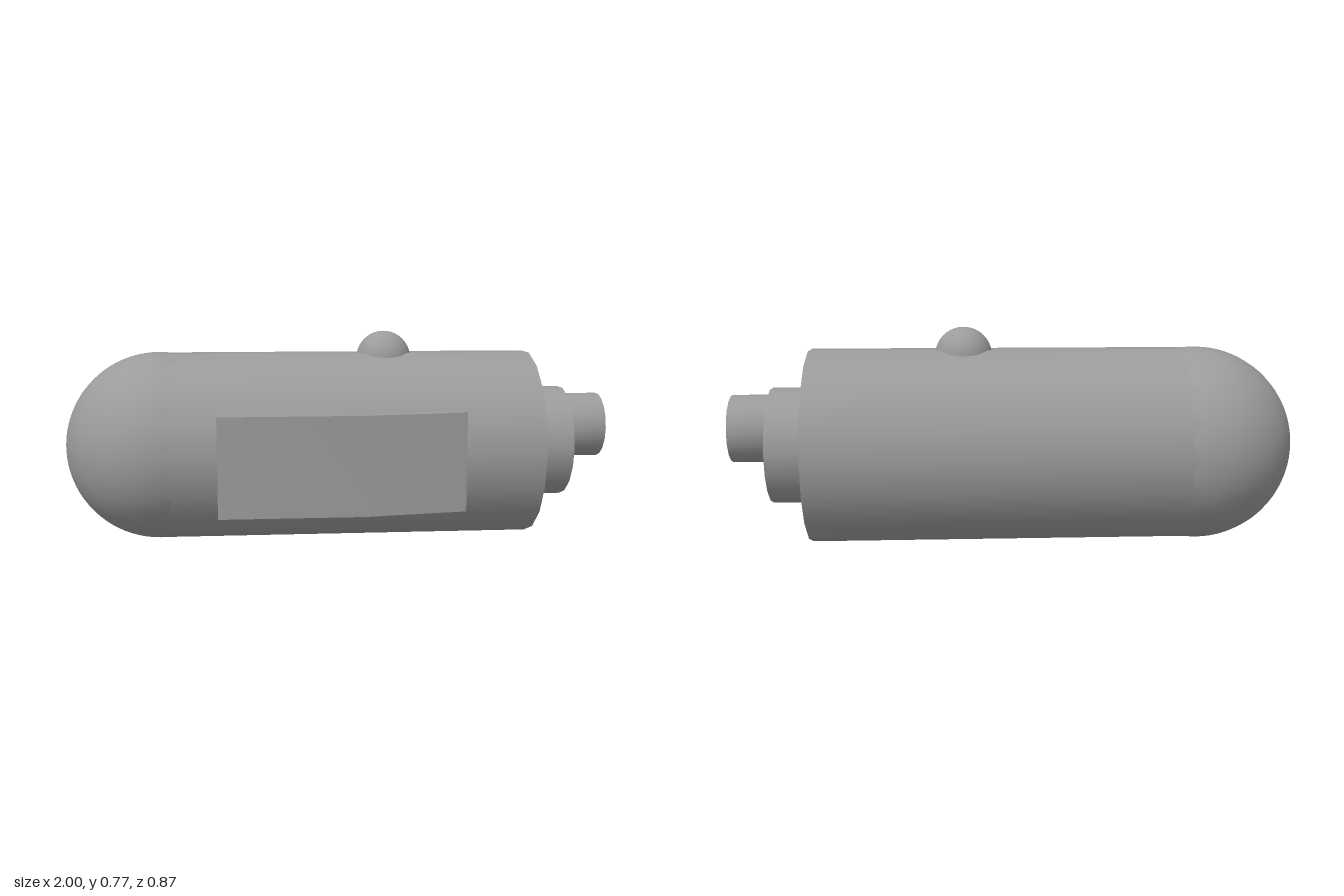
import * as THREE from 'three';
import { toCreasedNormals } from 'three/addons/utils/BufferGeometryUtils.js';

const SIDES = 18;
const AXIS_Y = 0.345, AXIS_Z = -0.089;

export function createModel() {
  const group = new THREE.Group();
  const material = new THREE.MeshStandardMaterial({ color: 0x9b9b9b });

  function add(name, geometry, x, y, z) {
    const mesh = new THREE.Mesh(geometry, material);
    mesh.name = name;
    mesh.position.set(x, y, z);
    group.add(mesh);
    return mesh;
  }

  // Cylinder lying along x, from x0 to x1
  function barrel(name, radius, x0, x1, y, z) {
    const geometry = new THREE.CylinderGeometry(radius, radius, x1 - x0, SIDES);
    add(name, geometry, (x0 + x1) / 2, y, z).rotation.z = -Math.PI / 2;
  }

  // Main body and the stepped collar at its right-hand end
  barrel('body', 0.345, -0.645, 0.718, AXIS_Y, AXIS_Z);
  barrel('collar', 0.206, 0.70, 0.858, AXIS_Y, -0.085);

  // Rounded end, running slightly into the body
  const dome = new THREE.SphereGeometry(0.346, 40, 24, 0, Math.PI * 2, 0, Math.PI * 0.6);
  add('domeEnd', dome, -0.654, AXIS_Y, -0.091).rotation.z = Math.PI / 2;

  // Hollow nozzle, set off-centre on the collar
  const nozzleProfile = [[0.12, -0.01], [0.12, 0.145], [0.052, 0.145], [0.052, 0.004], [0, 0.004]]
    .map(([r, h]) => new THREE.Vector2(r, h));
  const nozzle = toCreasedNormals(new THREE.LatheGeometry(nozzleProfile, SIDES), 0.6);
  add('nozzle', nozzle, 0.855, 0.405, -0.077).rotation.z = -Math.PI / 2;

  // Round button on top
  add('button', new THREE.SphereGeometry(0.101, 32, 20), 0.177, 0.664, -0.091);

  // Clip: outline in x and z, extruded downwards
  const outline = new THREE.Shape();
  outline.moveTo(-0.433, 0.203);
  outline.lineTo(-0.342, 0.203);
  outline.lineTo(-0.342, 0.256);
  outline.bezierCurveTo(-0.15, 0.266, 0.0, 0.31, 0.047, 0.4);
  outline.lineTo(0.22, 0.378);
  outline.quadraticCurveTo(0.36, 0.352, 0.402, 0.384);
  outline.lineTo(0.05, 0.437);
  outline.lineTo(-0.433, 0.437);
  outline.closePath();
  const clip = new THREE.ExtrudeGeometry(outline, { depth: 0.338, bevelEnabled: false, curveSegments: 8 });
  add('clip', toCreasedNormals(clip, 0.3), 0, 0.515, 0).rotation.x = Math.PI / 2;

  return group;
}
